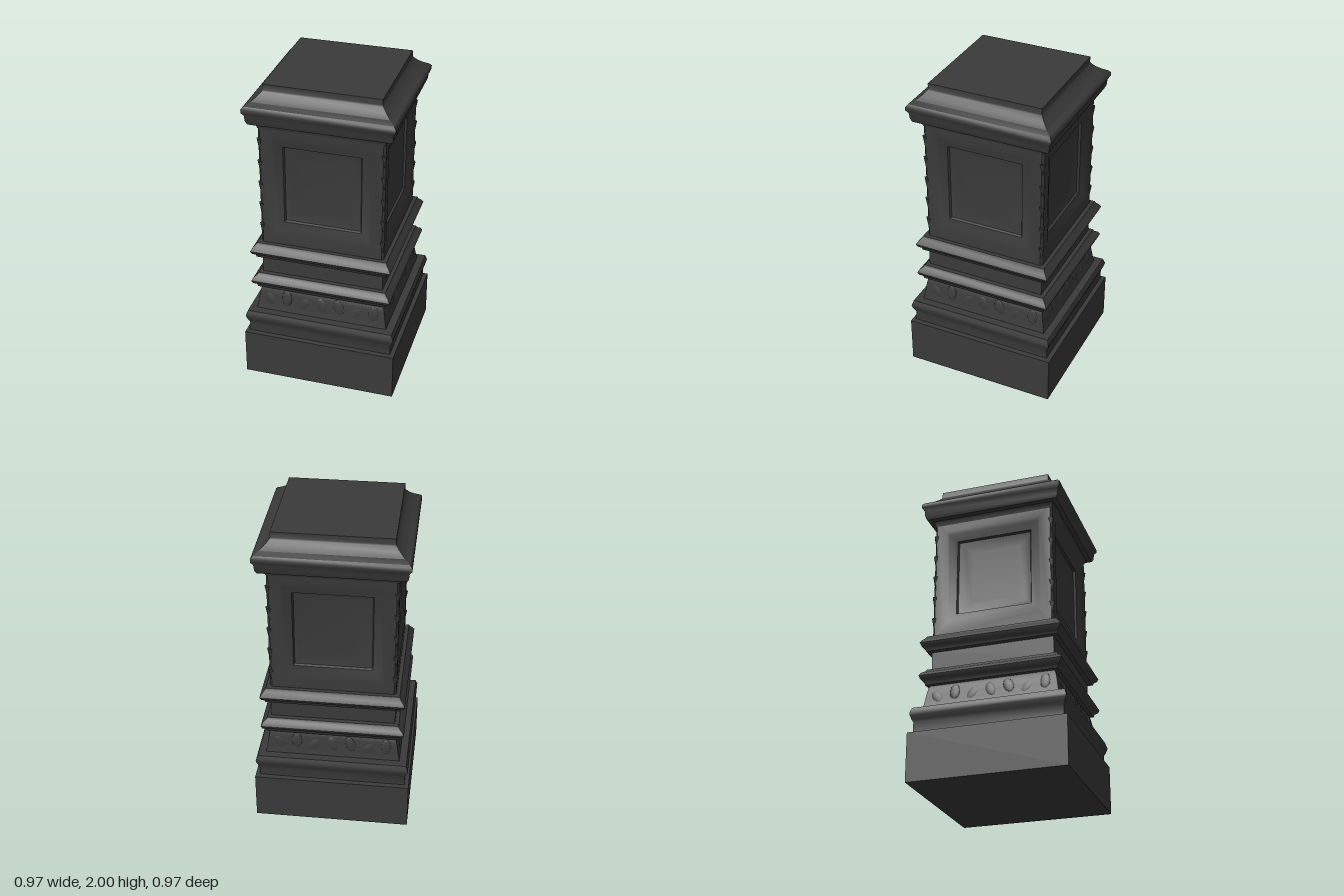
import * as THREE from 'three';
import { toCreasedNormals } from 'three/addons/utils/BufferGeometryUtils.js';

const stone = new THREE.MeshStandardMaterial({ color: 0x3a3a3a });

// Square moulding: a [half-width, height] profile, bottom to top, with mitred corners
function moulding(name, profile) {
  const points = profile.map(([w, y]) => new THREE.Vector2(w * Math.SQRT2, y));
  const geometry = new THREE.LatheGeometry(points, 4, Math.PI / 4);
  const mesh = new THREE.Mesh(toCreasedNormals(geometry, 0.8), stone);
  mesh.name = name;
  return mesh;
}

// One shaft face facing +z: nested rectangles stepping back to a sunken panel
function panelFace() {
  // half-width, bottom, top, z
  const rings = [
    [0.374, 0.94, 1.77, 0.387],
    [0.31, 1.03, 1.68, 0.386],
    [0.29, 1.05, 1.66, 0.379],
    [0.242, 1.1, 1.612, 0.362],
    [0.235, 1.107, 1.605, 0.348],
    [0.2, 1.14, 1.57, 0.338],
    [0.15, 1.19, 1.52, 0.334],
  ];
  const positions = [];
  const index = [];
  for (const [w, b, t, z] of rings) positions.push(-w, b, z, w, b, z, w, t, z, -w, t, z);
  for (let r = 0; r < rings.length - 1; r++) {
    for (let i = 0; i < 4; i++) {
      const a = r * 4 + i, b = r * 4 + (i + 1) % 4;
      index.push(a, b, b + 4, a, b + 4, a + 4);
    }
  }
  const c = (rings.length - 1) * 4;
  index.push(c, c + 1, c + 2, c, c + 2, c + 3);
  // Narrow chamfer joining the next face
  const n = rings.length * 4;
  positions.push(0.387, 0.94, 0.374, 0.387, 1.77, 0.374);
  index.push(1, n, n + 1, 1, n + 1, 2);
  const geometry = new THREE.BufferGeometry();
  geometry.setAttribute('position', new THREE.Float32BufferAttribute(positions, 3));
  geometry.setIndex(index);
  return toCreasedNormals(geometry, 0.5);
}

export function createModel() {
  const model = new THREE.Group();
  model.name = 'pedestal';

  model.add(moulding('plinth', [
    [0, 0], [0.487, 0], [0.487, 0.305], [0.46, 0.31],
  ]));

  model.add(moulding('baseMoulding', [
    [0.46, 0.31], [0.46, 0.375], [0.468, 0.39], [0.477, 0.415], [0.48, 0.43],
    [0.473, 0.45], [0.468, 0.465], [0.422, 0.468],
  ]));

  model.add(moulding('flaredBand', [
    [0.422, 0.468], [0.415, 0.5], [0.409, 0.54], [0.403, 0.58], [0.396, 0.61], [0.388, 0.625],
  ]));

  model.add(moulding('lowerCollar', [
    [0.388, 0.625], [0.413, 0.626], [0.418, 0.645], [0.437, 0.66], [0.445, 0.68],
    [0.434, 0.7], [0.415, 0.714], [0.408, 0.728], [0.385, 0.732],
  ]));

  model.add(moulding('neck', [[0.385, 0.73], [0.385, 0.848]]));

  model.add(moulding('upperCollar', [
    [0.385, 0.846], [0.414, 0.848], [0.418, 0.863], [0.436, 0.878], [0.445, 0.898],
    [0.433, 0.918], [0.418, 0.935], [0.41, 0.95], [0.37, 0.953],
  ]));

  model.add(moulding('cap', [
    [0.386, 1.73], [0.393, 1.755], [0.4, 1.765], [0.43, 1.768], [0.44, 1.79], [0.444, 1.83],
    [0.458, 1.85], [0.458, 1.872], [0.445, 1.887], [0.415, 1.906], [0.385, 1.93],
    [0.362, 1.956], [0.358, 1.965], [0.358, 2], [0, 2],
  ]));

  // Four panelled shaft faces, each with faint carved leaves below and a leafy corner
  const faceGeometry = panelFace();
  const leafGeometry = new THREE.SphereGeometry(1, 12, 8);
  const tipGeometry = new THREE.ConeGeometry(0.018, 0.1, 6);
  tipGeometry.rotateX(Math.PI);
  for (let side = 0; side < 4; side++) {
    const group = new THREE.Group();
    group.name = 'side' + (side + 1);
    group.rotation.y = side * Math.PI / 2;

    const face = new THREE.Mesh(faceGeometry, stone);
    face.name = 'sunkenPanel';
    group.add(face);

    for (let i = -3; i <= 3; i++) {
      const leaf = new THREE.Mesh(leafGeometry, stone);
      leaf.name = 'carvedLeaf';
      leaf.position.set(i * 0.112, 0.55 + 0.012 * Math.sin(i * 2.3), 0.405);
      leaf.rotation.set(-0.15, 0, 0.7 * Math.sin(i * 1.9 + 0.6));
      leaf.scale.set(0.032, 0.05, 0.007);
      group.add(leaf);
    }

    for (let i = 0; i < 5; i++) {
      const tip = new THREE.Mesh(tipGeometry, stone);
      tip.name = 'cornerLeafTip';
      tip.position.set(0.378, 1.03 + i * 0.145, 0.378);
      group.add(tip);
    }
    model.add(group);
  }
  return model;
}
